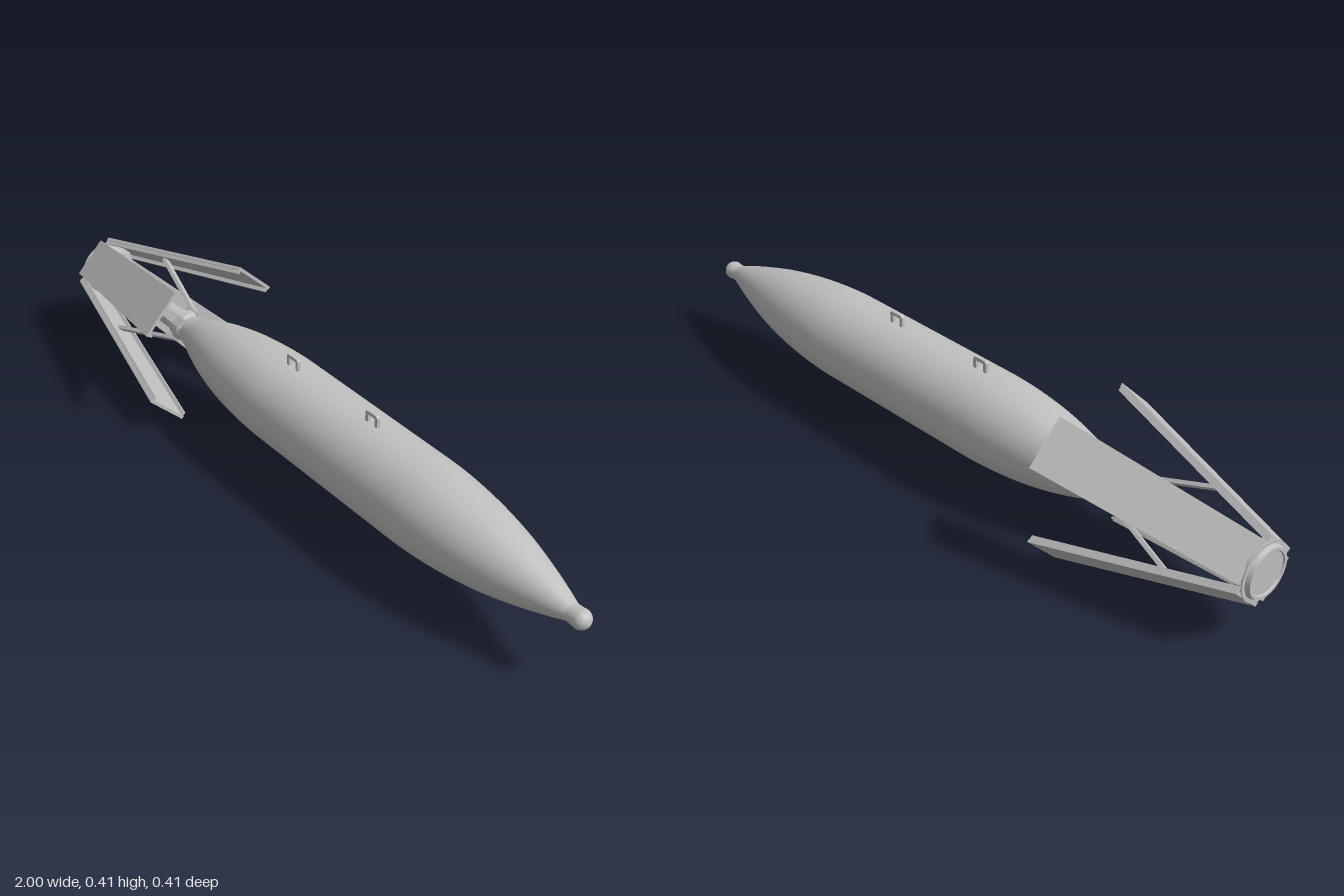
import * as THREE from 'three';

const metal = new THREE.MeshStandardMaterial({ color: 0xc0c0c0 });
metal.name = 'light grey metal';

function addMesh(parent, geometry, name) {
  const mesh = new THREE.Mesh(geometry, metal);
  mesh.name = name;
  parent.add(mesh);
  return mesh;
}

// Solid of revolution along x from [x, radius] pairs running front to rear
function turned(points, segments = 48) {
  const profile = points.map(([x, r]) => new THREE.Vector2(r, x)).reverse();
  return new THREE.LatheGeometry(profile, segments).rotateZ(-Math.PI / 2);
}

// Turned part with crisp edges between its sections
function turnedHard(points, segments = 40) {
  const hard = points.flatMap((p, i) => (i > 0 && i < points.length - 1 ? [p, p] : [p]));
  return turned(hard, segments);
}

// Fin strip: u runs hinge to tip, across is a share of the half width, depth is below the outer skin
const finStart = -0.985, finEnd = -0.45;
function finStrip(a0, a1, d0, d1) {
  const geo = new THREE.BoxGeometry(1, 1, 1);
  const p = geo.attributes.position;
  for (let i = 0; i < p.count; i++) {
    const u = p.getX(i) + 0.5;
    const halfWidth = 0.058 + 0.012 * u;
    const across = a0 + (p.getZ(i) + 0.5) * (a1 - a0);
    const depth = d1 + (p.getY(i) + 0.5) * (d0 - d1);
    p.setXYZ(i, finStart + u * (finEnd - finStart), 0.077 + 0.1455 * u - depth, across * halfWidth);
  }
  geo.computeVertexNormals();
  return geo;
}

// Straight bar between two points in the fin's radial plane
function bar(x0, y0, x1, y1, thick, wide) {
  const geo = new THREE.BoxGeometry(Math.hypot(x1 - x0, y1 - y0), thick, wide);
  geo.rotateZ(Math.atan2(y1 - y0, x1 - x0));
  return geo.translate((x0 + x1) / 2, (y0 + y1) / 2, 0);
}

export function createModel() {
  const model = new THREE.Group();
  model.name = 'finnedBody';
  const axis = new THREE.Group();
  axis.name = 'axis';
  axis.position.y = 0.207;
  model.add(axis);

  // Streamlined body, smoothed through a few stations
  const stations = [
    [0.945, 0.024], [0.9, 0.04], [0.83, 0.062], [0.74, 0.086], [0.64, 0.105], [0.54, 0.117],
    [0.45, 0.122], [0.15, 0.122], [-0.12, 0.122], [-0.21, 0.117], [-0.31, 0.105], [-0.4, 0.086],
    [-0.47, 0.065], [-0.51, 0.05], [-0.55, 0.04],
  ];
  const curve = new THREE.CatmullRomCurve3(stations.map(([x, r]) => new THREE.Vector3(x, r, 0)), false, 'centripetal');
  addMesh(axis, turned(curve.getPoints(70).map((v) => [v.x, Math.min(v.y, 0.122)]), 64), 'body');

  // Rounded nose plug
  const nose = [];
  for (let i = 0; i <= 10; i++) {
    const a = (i / 10) * Math.PI * 0.6;
    nose.push([0.974 + 0.026 * Math.cos(a), 0.026 * Math.sin(a)]);
  }
  nose.push([0.945, 0.024], [0.93, 0.026]);
  addMesh(axis, turned(nose, 32), 'nosePlug');

  // Tail tube, sliding collar and rear hub
  addMesh(axis, turnedHard([[-0.54, 0.032], [-0.98, 0.032]], 32), 'tailTube');
  addMesh(axis, turnedHard([[-0.545, 0], [-0.545, 0.041], [-0.555, 0.046], [-0.575, 0.046], [-0.575, 0.038],
    [-0.6, 0.038], [-0.6, 0]]), 'collar');
  addMesh(axis, turnedHard([[-0.955, 0], [-0.955, 0.06], [-0.965, 0.078], [-0.988, 0.08], [-0.988, 0.07],
    [-1, 0.066], [-1, 0.058], [-0.996, 0.056], [-0.996, 0]]), 'rearHub');

  // Four opened fins, each a flanged plate with a strut to the collar
  for (let k = 0; k < 4; k++) {
    const fin = new THREE.Group();
    fin.name = 'fin' + (k + 1);
    fin.rotation.x = Math.PI / 4 + (k * Math.PI) / 2;
    addMesh(fin, finStrip(-1, 1, 0, 0.009), 'finPlate');
    for (const s of [-1, 1]) {
      addMesh(fin, finStrip(s > 0 ? 0.86 : -0.96, s > 0 ? 0.96 : -0.86, 0.008, 0.02), 'finFlange');
    }
    addMesh(fin, bar(-0.565, 0.042, -0.79, 0.118, 0.01, 0.022), 'strut');
    addMesh(fin, bar(-0.54, 0.043, -0.6, 0.043, 0.014, 0.026), 'strutLug');
    axis.add(fin);
  }

  // Two suspension hoops on top
  for (const x of [-0.073, 0.245]) {
    const hoop = new THREE.Shape();
    hoop.moveTo(-0.023, 0.11).lineTo(0.023, 0.11).lineTo(0.023, 0.149).lineTo(0.018, 0.155);
    hoop.lineTo(-0.018, 0.155).lineTo(-0.023, 0.149).lineTo(-0.023, 0.11);
    const gap = new THREE.Path();
    gap.moveTo(-0.013, 0.115).lineTo(-0.013, 0.145).lineTo(0.013, 0.145).lineTo(0.013, 0.115).lineTo(-0.013, 0.115);
    hoop.holes.push(gap);
    const geo = new THREE.ExtrudeGeometry(hoop, { depth: 0.009, bevelEnabled: false });
    addMesh(axis, geo.translate(x, 0, -0.0045), 'suspensionHoop');
  }
  return model;
}
